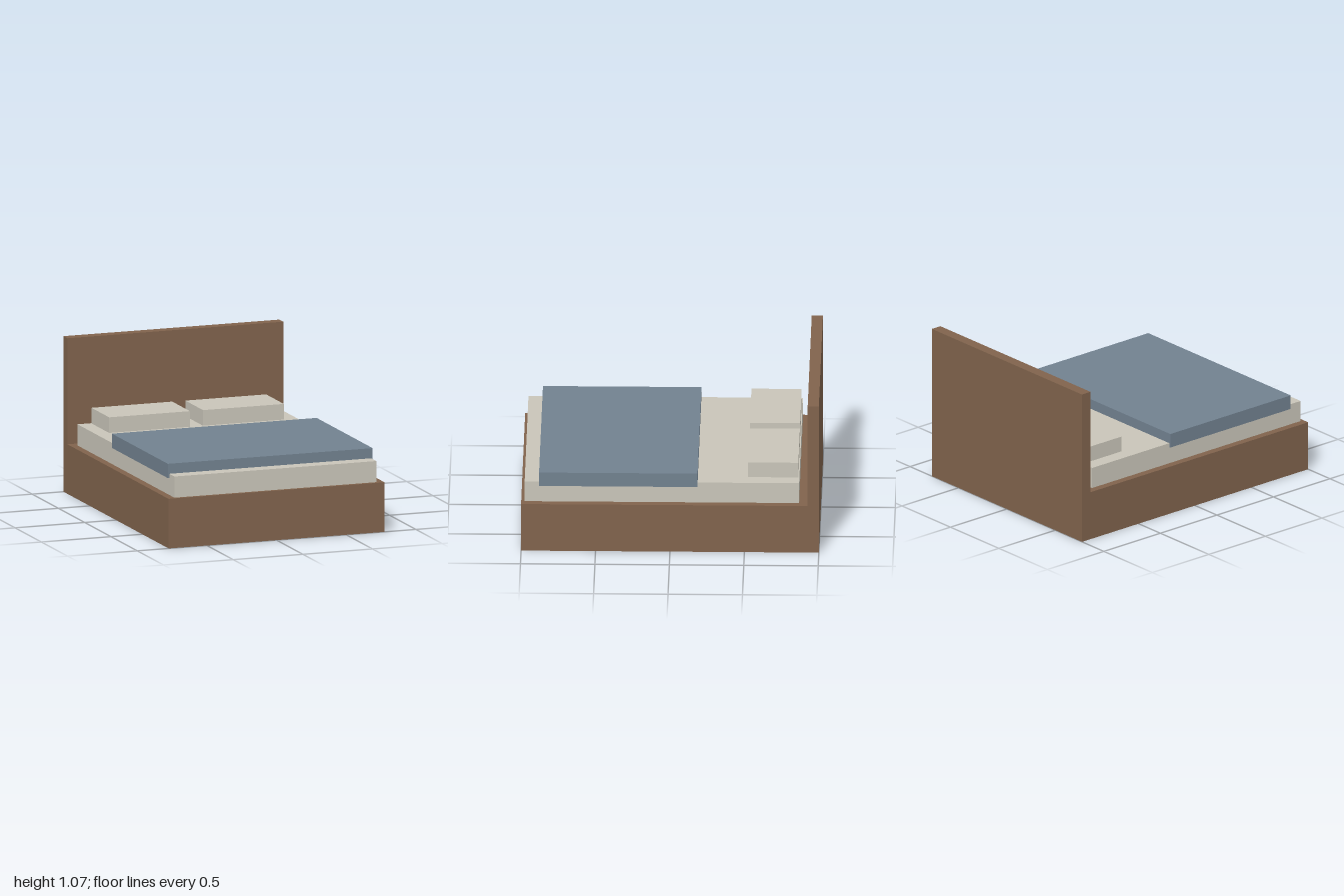
import * as THREE from 'three';

const material = (name, color) => {
  const m = new THREE.MeshStandardMaterial({ color });
  m.name = name;
  return m;
};

// Box given by its min and max extent along each axis
function slab(name, mat, [x0, x1], [y0, y1], [z0, z1]) {
  const mesh = new THREE.Mesh(new THREE.BoxGeometry(x1 - x0, y1 - y0, z1 - z0), mat);
  mesh.position.set((x0 + x1) / 2, (y0 + y1) / 2, (z0 + z1) / 2);
  mesh.name = name;
  return mesh;
}

export function createModel() {
  const wood = material('brown wood', 0x80634c);
  const linen = material('cream linen', 0xc9c5b9);
  const cloth = material('slate blue cloth', 0x71818f);

  const bed = new THREE.Group();
  bed.name = 'bed';

  // Wooden frame
  bed.add(slab('bedBase', wood, [-0.775, 0.775], [0, 0.34], [-0.925, 1]));
  bed.add(slab('headboard', wood, [-0.775, 0.775], [0, 1.067], [-1, -0.925]));

  // Bedding
  bed.add(slab('mattress', linen, [-0.725, 0.725], [0.34, 0.485], [-0.867, 0.977]));
  bed.add(slab('blanket', cloth, [-0.735, 0.735], [0.456, 0.554], [-0.185, 0.88]));

  // Pair of pillows
  bed.add(slab('leftPillow', linen, [0.047, 0.627], [0.485, 0.592], [-0.86, -0.523]));
  bed.add(slab('rightPillow', linen, [-0.627, -0.047], [0.485, 0.592], [-0.86, -0.523]));

  return bed;
}
